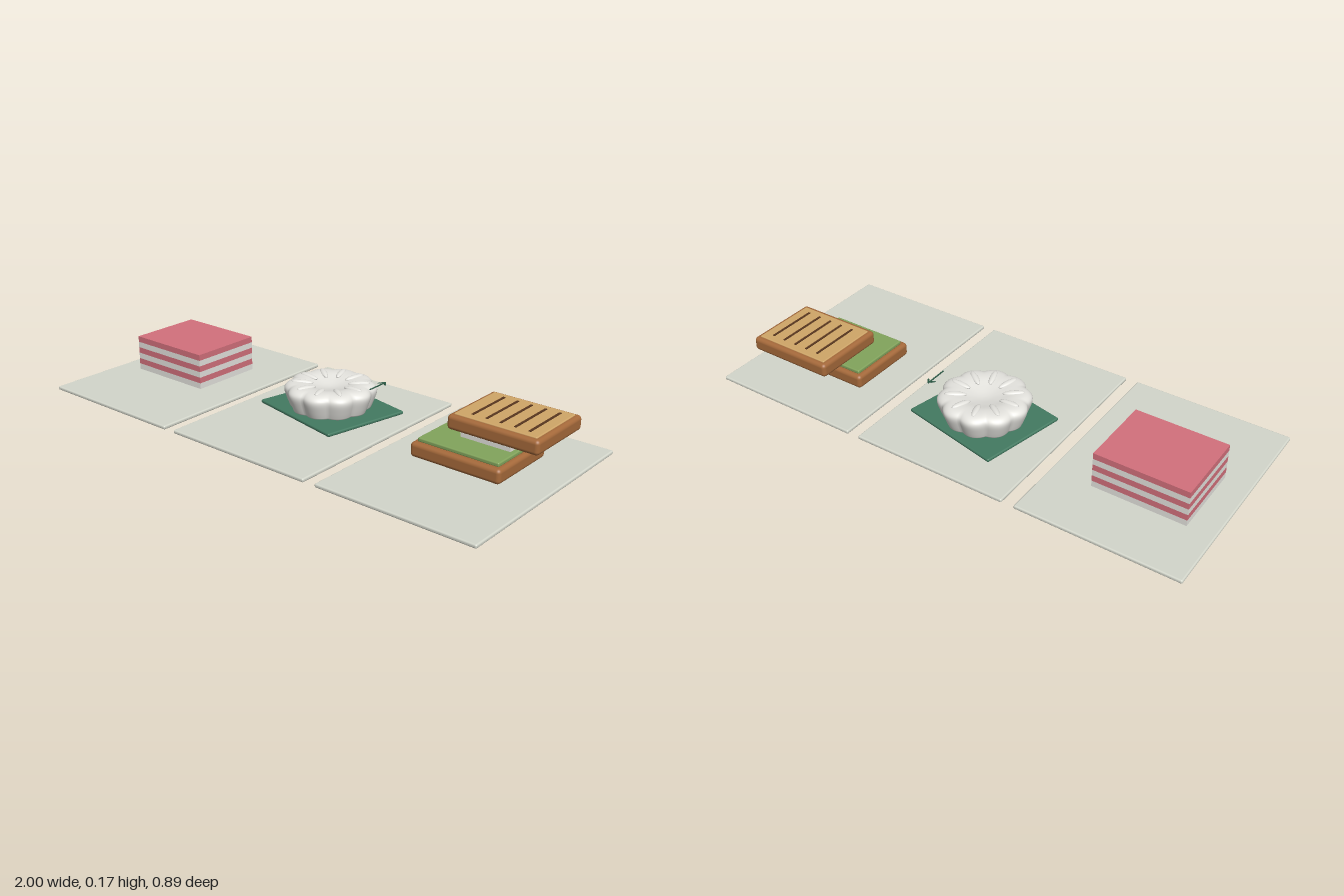
import * as THREE from 'three';
import { mergeVertices } from 'three/addons/utils/BufferGeometryUtils.js';
import { RoundedBoxGeometry } from 'three/addons/geometries/RoundedBoxGeometry.js';

const mat = (name, color) => {
  const m = new THREE.MeshStandardMaterial({ color });
  m.name = name;
  return m;
};

export function createModel() {
  const model = new THREE.Group();
  const tray = mat('pale tray', 0xd3d6cb);
  const white = mat('cream white', 0xe4e3de);
  const pink = mat('pink', 0xd3707c);
  const napkinGreen = mat('napkin green', 0x437a61);
  const sprigGreen = mat('sprig green', 0x2b5a45);
  const crust = mat('crust brown', 0xa5693a);
  const crumb = mat('toast tan', 0xd0a668);
  const grill = mat('grill brown', 0x59371f);
  const spread = mat('spread green', 0x82a45c);

  const add = (parent, name, geometry, material, x = 0, y = 0, z = 0) => {
    const mesh = new THREE.Mesh(geometry, material);
    mesh.name = name;
    mesh.position.set(x, y, z);
    parent.add(mesh);
    return mesh;
  };
  const group = (name, x, z) => {
    const g = new THREE.Group();
    g.name = name;
    g.position.set(x, 0, z);
    model.add(g);
    return g;
  };
  const rounded = (w, h, d, r) => new RoundedBoxGeometry(w, h, d, 4, r);

  // Three serving trays
  for (const x of [-0.683, 0, 0.683]) {
    add(model, 'tray', rounded(0.634, 0.015, 0.886, 0.006), tray, x, 0.0075, 0);
  }

  // Layered cake, alternating pale and pink
  const cake = group('layerCake', -0.716, -0.057);
  for (let i = 0; i < 6; i++) {
    add(cake, 'cakeLayer', new THREE.BoxGeometry(0.364, 0.024, 0.302), i % 2 ? pink : white, 0, 0.029 + i * 0.024, 0);
  }

  // Turned napkin under the bun
  const dessert = group('scallopedDessert', 0, -0.087);
  const napkin = add(dessert, 'napkin', rounded(0.426, 0.014, 0.362, 0.006), napkinGreen, 0, 0.026, 0);
  napkin.rotation.y = -0.211;

  // Scalloped bun: a turned profile pinched into ten lobes
  const profile = new THREE.SplineCurve([
    [0.154, 0.033], [0.165, 0.06], [0.176, 0.095], [0.171, 0.114], [0.148, 0.126],
    [0.105, 0.127], [0.06, 0.117], [0.025, 0.11], [0, 0.108],
  ].map(([r, y]) => new THREE.Vector2(r, y))).getPoints(32);
  let bun = new THREE.LatheGeometry([new THREE.Vector2(0, 0.033), ...profile], 120);
  const p = bun.attributes.position;
  for (let i = 0; i < p.count; i++) {
    const x = p.getX(i), z = p.getZ(i);
    const r = Math.hypot(x, z);
    const pinch = (1 - Math.abs(Math.cos(5 * Math.atan2(z, x)))) * Math.min(1, r / 0.15) ** 2;
    const s = 1.01 - 0.085 * pinch;
    p.setXYZ(i, x * s, p.getY(i), z * s);
  }
  bun.deleteAttribute('uv');
  bun.deleteAttribute('normal');
  bun = mergeVertices(bun, 1e-5);
  bun.computeVertexNormals();
  add(dessert, 'scallopedBun', bun, white, -0.004, 0, 0);

  // Raised petals on the lobes
  const petal = new THREE.SphereGeometry(1, 20, 12).scale(0.042, 0.009, 0.013);
  for (let i = 0; i < 10; i++) {
    const a = (i / 10) * Math.PI * 2;
    const mesh = add(dessert, 'petal', petal, white, -0.004 + Math.cos(a) * 0.108, 0.124, -Math.sin(a) * 0.108);
    mesh.rotation.set(0, a, 0.06);
  }

  // Little sprig beside the bun
  const sprig = group('sprig', 0.19, -0.128);
  add(sprig, 'sprigStem', new THREE.CylinderGeometry(0.0025, 0.0025, 0.094, 8).rotateX(Math.PI / 2), sprigGreen, 0, 0.147, 0);
  for (const side of [-1, 1]) {
    const leaf = add(sprig, 'sprigLeaf', new THREE.SphereGeometry(1, 12, 8).scale(0.004, 0.0025, 0.016), sprigGreen, side * 0.008, 0.147, -0.035);
    leaf.rotation.y = side * 0.65;
  }

  // Lower toast with spread and filling
  const lower = group('lowerToast', 0.671, -0.07);
  add(lower, 'lowerSlice', rounded(0.362, 0.056, 0.302, 0.015), crust, 0, 0.051, 0);
  add(lower, 'spread', rounded(0.326, 0.016, 0.262, 0.005), spread, 0, 0.085, -0.002);
  add(lower, 'filling', new THREE.BoxGeometry(0.2, 0.018, 0.135), white, 0.045, 0.1, -0.04);

  // Upper toast with tan face and five grill marks
  const upper = group('upperToast', 0.744, -0.181);
  add(upper, 'upperSlice', rounded(0.362, 0.056, 0.302, 0.015), crust, 0, 0.138, 0);
  add(upper, 'toastFace', rounded(0.326, 0.009, 0.264, 0.004), crumb, 0, 0.1655, 0);
  for (let i = -2; i <= 2; i++) {
    add(upper, 'grillMark', new THREE.BoxGeometry(0.009, 0.004, 0.208), grill, 0.007 + i * 0.056, 0.1705, 0);
  }

  return model;
}
